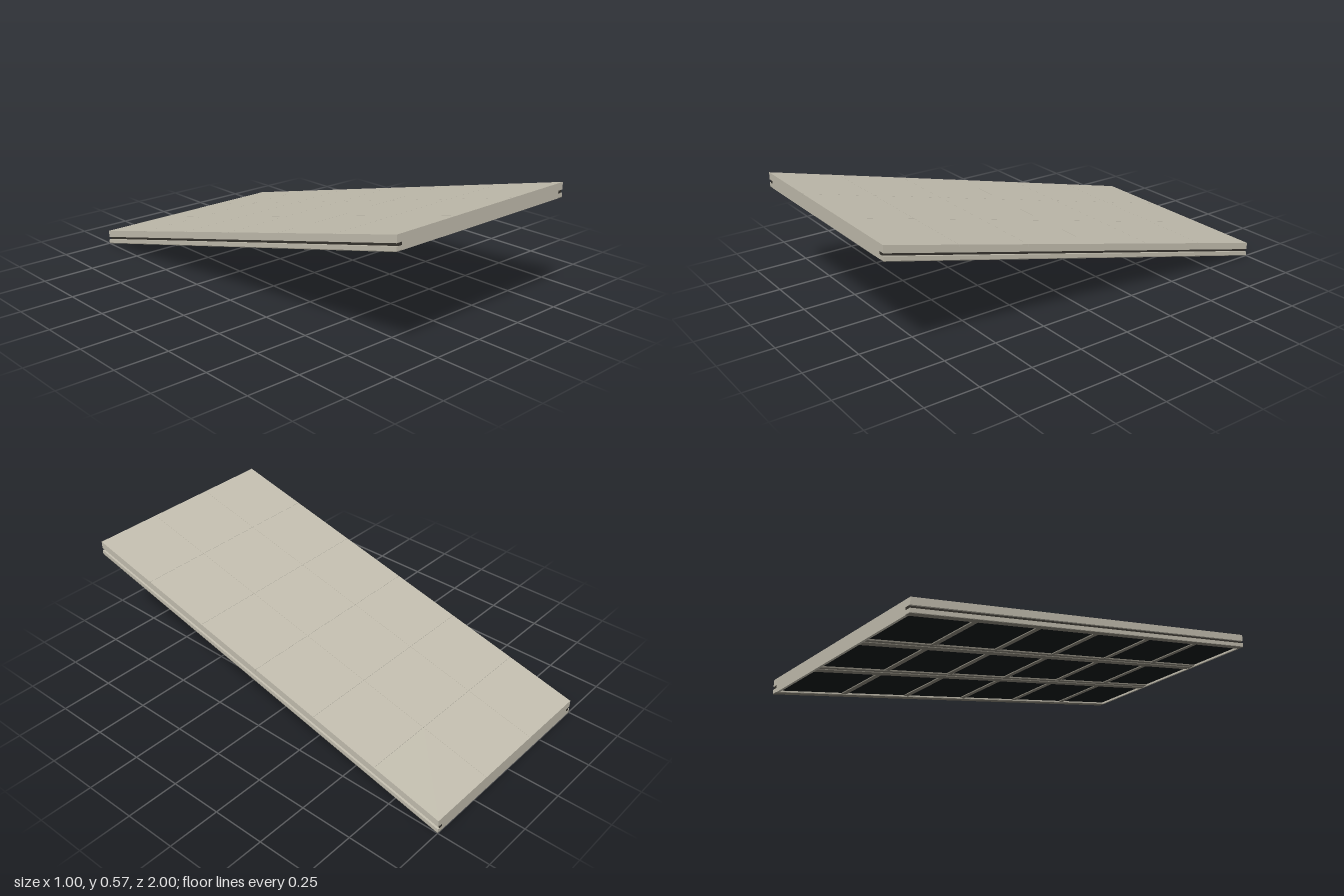
import * as THREE from 'three';

const LENGTH = 2, SLOPE = 0.25, COLS = 3, ROWS = 6;
const paint = (color) => new THREE.MeshStandardMaterial({ color, roughness: 0.8 });

export function createModel() {
  const root = new THREE.Group();
  root.name = 'slopedPanelDeck';
  const light = paint(0xc4bfb0), frame = paint(0x8a867a), dark = paint(0x14181a), groove = paint(0x38352f);

  // Box given by its limits on the level deck, then sheared to the slope so its ends stay upright
  function slab(parent, name, material, [x0, x1], [y0, y1], [z0, z1]) {
    const g = new THREE.BoxGeometry(x1 - x0, y1 - y0, z1 - z0);
    g.translate((x0 + x1) / 2, (y0 + y1) / 2, (z0 + z1) / 2);
    const p = g.attributes.position;
    for (let i = 0; i < p.count; i++) p.setY(i, p.getY(i) + SLOPE * (p.getZ(i) + LENGTH / 2));
    g.computeVertexNormals();
    const mesh = new THREE.Mesh(g, material);
    mesh.name = name;
    parent.add(mesh);
  }
  function group(name) {
    const g = new THREE.Group();
    g.name = name;
    root.add(g);
    return g;
  }
  const full = [-1, 1];
  const mirrored = (s, a, b) => (s > 0 ? [a, b] : [-b, -a]);

  // Top sheets and the dark linings below them
  const sheets = group('topSheets'), linings = group('linings');
  const w = 1 / COLS, d = LENGTH / ROWS, gap = 0.0005;
  for (let c = 0; c < COLS; c++) {
    for (let r = 0; r < ROWS; r++) {
      const x = -0.5 + c * w, z = -1 + r * d;
      const xs = [x + (c ? gap : 0), x + w - (c < COLS - 1 ? gap : 0)];
      const zs = [z + (r ? gap : 0), z + d - (r < ROWS - 1 ? gap : 0)];
      slab(sheets, 'topSheet', light, xs, [0.057, 0.067], zs);
    }
    const x = -0.5 + c * w;
    slab(linings, 'lining', dark, [x + 0.02, x + w - 0.02], [0.009, 0.0565], [-0.985, 0.985]);
  }

  // Side beams: two flanges and a recessed dark groove facing outward
  for (const s of [1, -1]) {
    const beam = group(s > 0 ? 'leftSideBeam' : 'rightSideBeam');
    slab(beam, 'upperFlange', light, mirrored(s, 0.472, 0.5), [0.034, 0.057], full);
    slab(beam, 'web', groove, mirrored(s, 0.472, 0.49), [0.021, 0.034], full);
    slab(beam, 'lowerFlange', light, mirrored(s, 0.472, 0.5), [0.003, 0.021], full);
    slab(beam, 'soleStrip', frame, mirrored(s, 0.472, 0.5), [0, 0.003], full);
  }

  // Inner rafters: wide plate with a narrow rib below it
  for (const s of [1, -1]) {
    const rafter = group(s > 0 ? 'leftRafter' : 'rightRafter');
    const x = s * w / 2;
    slab(rafter, 'rafterPlate', frame, [x - 0.029, x + 0.029], [0.003, 0.05], [-0.988, 0.988]);
    slab(rafter, 'rafterRib', frame, [x - 0.01, x + 0.01], [0, 0.003], [-0.988, 0.988]);
  }

  // Cross bars under the sheet joints
  const bars = group('crossBars');
  for (let r = 1; r < ROWS; r++) {
    const z = -1 + r * d;
    slab(bars, 'crossBar', frame, [-0.473, 0.473], [0.004, 0.05], [z - 0.014, z + 0.014]);
  }

  // End boards closing the front and back
  slab(root, 'frontBoard', light, [-0.472, 0.472], [0, 0.057], [0.986, 1]);
  slab(root, 'backBoard', light, [-0.472, 0.472], [0, 0.057], [-1, -0.986]);
  return root;
}
